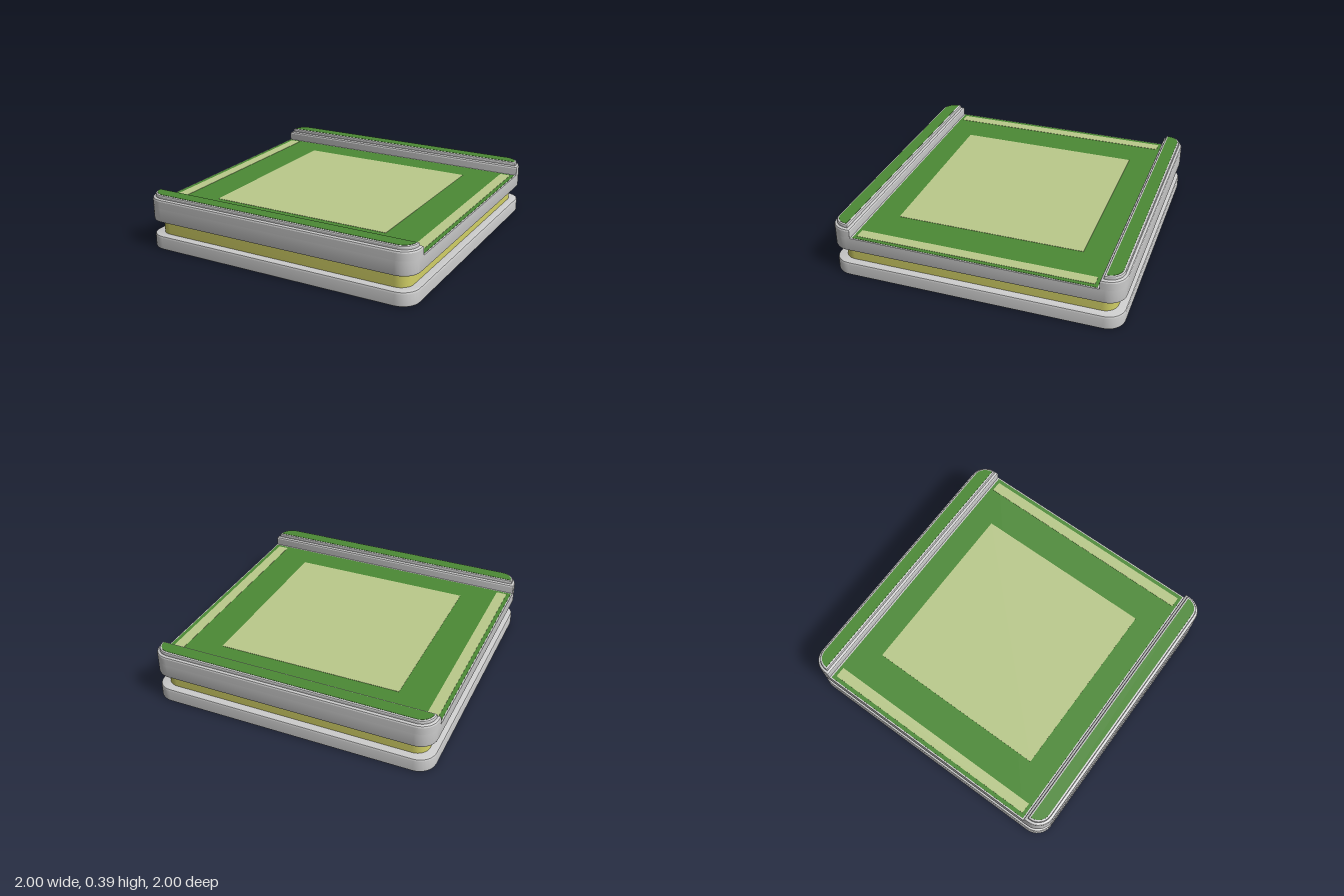
import * as THREE from 'three';
import { toCreasedNormals } from 'three/addons/utils/BufferGeometryUtils.js';

const GREY = 0xcccccc, YELLOW = 0xd2d066, GREEN = 0x4c8a35, PALE = 0xbaca8b;
const STEPS = 8;

// Rounded rectangle in x/z, shrunk by an inset; rBack rounds the -z corners, rFront the +z ones
function outline({ x, z0, z1, rBack, rFront }, inset) {
  const pts = [];
  const corners = [[1, 1], [-1, 1], [-1, -1], [1, -1]];
  corners.forEach(([sx, sz], q) => {
    const r = Math.max((sz > 0 ? rFront : rBack) - inset, 0.002);
    const cx = sx * (x - inset - r);
    const cz = sz > 0 ? z1 - inset - r : z0 + inset + r;
    for (let i = 0; i <= STEPS; i++) {
      const a = (q + i / STEPS) * Math.PI / 2;
      pts.push([cx + r * Math.cos(a), cz + r * Math.sin(a)]);
    }
  });
  return pts;
}

// Stacks outlines through [inset, y] levels and caps both ends
function stack(plan, levels) {
  const pos = [], idx = [], n = 4 * (STEPS + 1);
  for (const [inset, y] of levels)
    for (const [x, z] of outline(plan, inset)) pos.push(x, y, z);
  for (let l = 0; l < levels.length - 1; l++)
    for (let i = 0; i < n; i++) {
      const a = l * n + i, b = l * n + (i + 1) % n;
      idx.push(a, a + n, b + n, a, b + n, b);
    }
  const top = (levels.length - 1) * n;
  for (let i = 1; i < n - 1; i++) {
    idx.push(0, i, i + 1);
    idx.push(top, top + i + 1, top + i);
  }
  const g = new THREE.BufferGeometry();
  g.setAttribute('position', new THREE.Float32BufferAttribute(pos, 3));
  g.setIndex(idx);
  return toCreasedNormals(g, 0.36);
}

const square = (half, r) => ({ x: half, z0: -half, z1: half, rBack: r, rFront: r });

export function createModel() {
  const model = new THREE.Group();
  model.name = 'layeredTile';
  const mats = {};
  const add = (parent, name, geometry, color) => {
    mats[color] ??= new THREE.MeshStandardMaterial({ color });
    const mesh = new THREE.Mesh(geometry, mats[color]);
    mesh.name = name;
    parent.add(mesh);
    return mesh;
  };

  // Bottom plate, recessed coloured band and upper plate
  add(model, 'basePlate', stack(square(1, 0.12),
    [[0.01, 0], [0.003, 0.003], [0, 0.01], [0, 0.085], [0.004, 0.096], [0.015, 0.1]]), GREY);
  add(model, 'middleBand', stack(square(0.945, 0.09), [[0, 0.1], [0, 0.2]]), YELLOW);
  add(model, 'upperPlate', stack(square(1, 0.12),
    [[0.012, 0.2], [0.003, 0.203], [0, 0.212], [0, 0.3]]), GREY);

  // Deck between the rails with its pale panels
  const slab = (name, w, d, x, y, color) => {
    add(model, name, new THREE.BoxGeometry(w, 0.004, d), color).position.set(x, y, 0);
  };
  slab('deck', 1.98, 1.665, 0, 0.3, GREEN);
  slab('centrePanel', 1.3, 1.3, 0, 0.302, PALE);
  for (const s of [1, -1]) slab('edgeStrip', 0.075, 1.62, s * 0.925, 0.302, PALE);

  // Raised stepped rails along front and back
  const railPlan = { x: 1, z0: 0.845, z1: 1, rBack: 0.003, rFront: 0.12 };
  const railBody = stack(railPlan, [[0, 0.3], [0, 0.35], [0.004, 0.36], [0.014, 0.365],
    [0.02, 0.366], [0.02, 0.38], [0.023, 0.386], [0.03, 0.389]]);
  const railTop = stack(railPlan, [[0.034, 0.386], [0.034, 0.391]]);
  for (const side of ['front', 'back']) {
    const rail = new THREE.Group();
    rail.name = side + 'Rail';
    add(rail, 'railBody', railBody, GREY);
    add(rail, 'railTop', railTop, GREEN);
    if (side === 'back') rail.rotation.y = Math.PI;
    model.add(rail);
  }
  return model;
}
